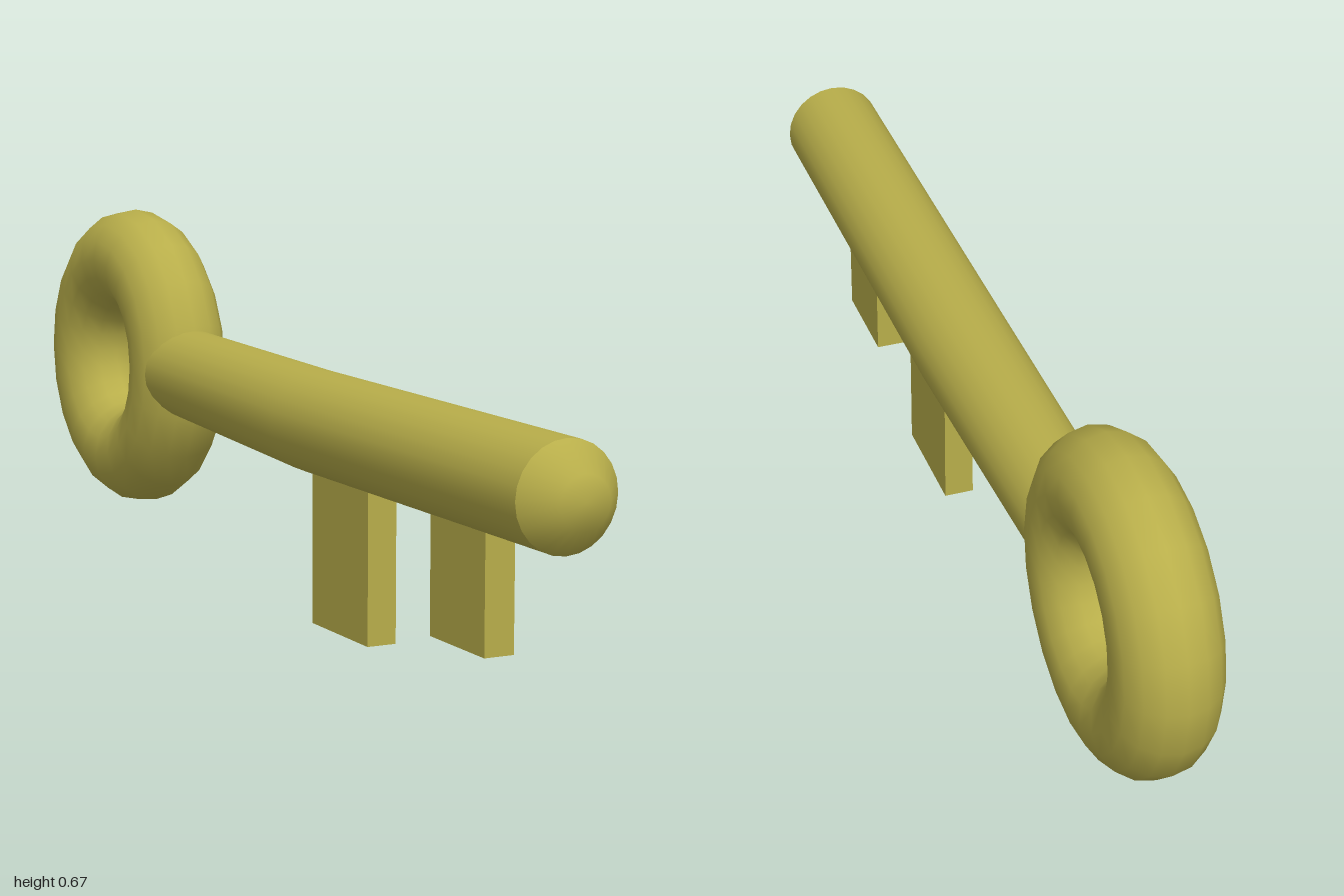
import * as THREE from 'three';

export function createModel() {
  const model = new THREE.Group();
  const material = new THREE.MeshStandardMaterial({ color: 0xb8ae4a });

  function add(name, geometry, x = 0, y = 0, z = 0) {
    const mesh = new THREE.Mesh(geometry, material);
    mesh.name = name;
    mesh.position.set(x, y, z);
    model.add(mesh);
  }

  // Round profile of [radius, z] pairs, turned about the z axis
  function turned(points) {
    const profile = points.map(([r, z]) => new THREE.Vector2(r, z));
    return new THREE.LatheGeometry(profile, 24).rotateX(Math.PI / 2);
  }

  // Ring-shaped handle, standing in the yz plane
  const bow = new THREE.TorusGeometry(0.1975, 0.0965, 16, 20);
  bow.rotateY(Math.PI / 2).scale(0.0925 / 0.0965, 1, 1);
  add('bow', bow, 0, 0.379, -0.705);

  // Shaft: straight at the front, narrowing and rising slightly towards the bow
  const shaft = turned([[0, -0.5], [0.085, -0.5], [0.0925, 0.1], [0.0925, 0.945]]);
  const p = shaft.attributes.position;
  for (let i = 0; i < p.count; i++) {
    const t = Math.max(0, 0.1 - p.getZ(i)) / 0.6;
    p.setY(i, p.getY(i) + 0.018 * t);
  }
  // Smooth radial normals along the side
  const n = shaft.attributes.normal;
  for (let i = 0; i < p.count; i++) {
    const x = p.getX(i);
    const y = p.getY(i) - 0.018 * Math.max(0, 0.1 - p.getZ(i)) / 0.6;
    const r = Math.hypot(x, y);
    if (r > 0.01) n.setXYZ(i, x / r, y / r, 0);
  }
  add('shaft', shaft, 0, 0.358, 0);

  // Bevelled, softly shaded tip
  add('tip', turned([[0.0925, 0.945], [0.045, 1], [0, 1]]), 0, 0.358, 0);

  // Teeth hanging below the shaft: [name, back z, front z, bottom y]
  for (const [name, back, front, bottom] of [
    ['frontTooth', 0.565, 0.745, 0.065],
    ['rearTooth', 0.135, 0.345, 0],
  ]) {
    const top = 0.33;
    add(name, new THREE.BoxGeometry(0.055, top - bottom, front - back),
      0, (top + bottom) / 2, (front + back) / 2);
  }

  return model;
}
